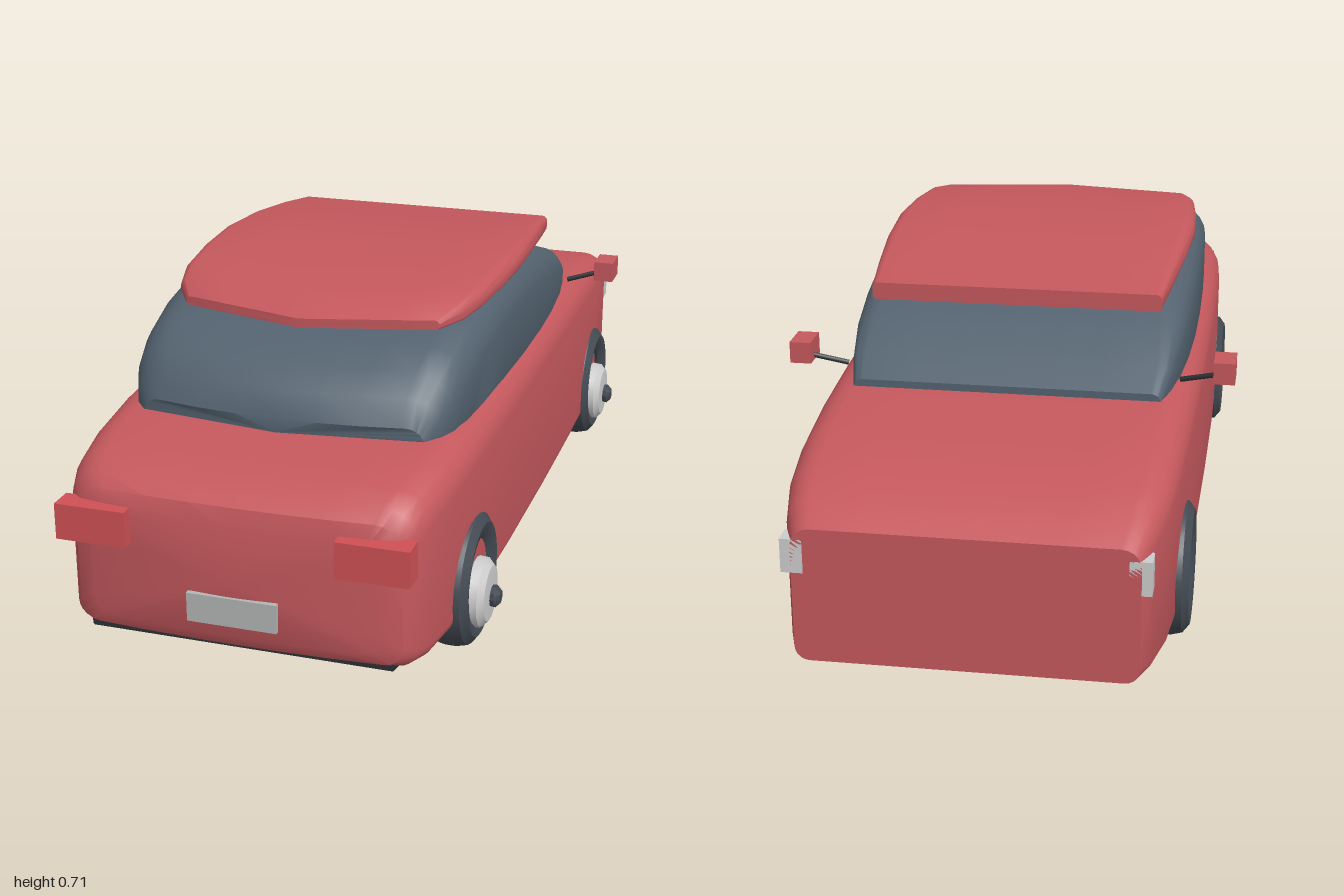
import * as THREE from 'three';
import { toCreasedNormals } from 'three/addons/utils/BufferGeometryUtils.js';

const paint = (color) => new THREE.MeshStandardMaterial({ color });
const red = paint(0xc4585d), lampRed = paint(0xcf5055), glass = paint(0x53626f);
const rubber = paint(0x434a52), dark = paint(0x2c3033), light = paint(0xdddddb), plateGrey = paint(0xb2b6b5);

// Rounded-rectangle outline, counter-clockwise, with points spread along top and bottom.
function outline(w, y0, y1, rBottom, rTop) {
  const pts = [];
  const corner = (cx, cy, r, start) => {
    for (let i = 0; i <= 5; i++) {
      const a = start + (i / 5) * Math.PI / 2;
      pts.push([cx + r * Math.cos(a), cy + r * Math.sin(a)]);
    }
  };
  const inner = [0.66, 0.33, 0, -0.33, -0.66];
  corner(w - rBottom, y0 + rBottom, rBottom, -Math.PI / 2);
  corner(w - rTop, y1 - rTop, rTop, 0);
  for (const u of inner) pts.push([u * (w - rTop), y1]);
  corner(-w + rTop, y1 - rTop, rTop, Math.PI / 2);
  corner(-w + rBottom, y0 + rBottom, rBottom, Math.PI);
  for (const u of inner) pts.push([-u * (w - rBottom), y0]);
  return pts;
}

// Skin over sections [z, halfWidth, bottom, top, bottomRadius, topRadius, sweep].
// sweep pulls the sides of a section forward, following |x|^power.
function loft(sections, power = 2, crease = 0.6) {
  const pos = [], idx = [];
  let n = 0;
  for (const [z, w, y0, y1, rb, rt, sweep = 0] of sections) {
    const ring = outline(w, y0, y1, rb, rt);
    n = ring.length;
    for (const [x, y] of ring) pos.push(x, y, z - sweep * Math.pow(Math.abs(x) / w, power));
  }
  const last = sections.length - 1;
  for (let i = 0; i < last; i++) {
    for (let j = 0; j < n; j++) {
      const a = i * n + j, b = i * n + (j + 1) % n;
      idx.push(a, b, a + n, b, b + n, a + n);
    }
  }
  // End caps
  for (const i of [0, last]) {
    const c = pos.length / 3, [z, , y0, y1] = sections[i];
    pos.push(0, (y0 + y1) / 2, z);
    for (let j = 0; j < n; j++) {
      const a = i * n + j, b = i * n + (j + 1) % n;
      if (i) idx.push(c, a, b); else idx.push(c, b, a);
    }
  }
  const g = new THREE.BufferGeometry();
  g.setAttribute('position', new THREE.Float32BufferAttribute(pos, 3));
  g.setIndex(idx);
  return toCreasedNormals(g, crease);
}

// Lathe turned so its axis points along +x; profile is [radius, x].
function turned(profile, sides) {
  const g = new THREE.LatheGeometry(profile.map(([r, x]) => new THREE.Vector2(r, x)), sides);
  g.rotateZ(-Math.PI / 2);
  return toCreasedNormals(g, 0.6);
}

export function createModel() {
  const car = new THREE.Group();
  car.name = 'car';
  const add = (name, geometry, material, x = 0, y = 0, z = 0, parent = car) => {
    const m = new THREE.Mesh(geometry, material);
    m.name = name;
    m.position.set(x, y, z);
    parent.add(m);
    return m;
  };
  const box = (w, h, d) => new THREE.BoxGeometry(w, h, d);

  // Body shell, blunt at -z and rounded at +z
  add('body', loft([
    [-1.0, 0.345, 0.082, 0.37, 0.03, 0.04],
    [-0.94, 0.366, 0.08, 0.405, 0.03, 0.05],
    [-0.85, 0.385, 0.08, 0.435, 0.03, 0.06],
    [-0.72, 0.396, 0.08, 0.46, 0.03, 0.065],
    [-0.55, 0.403, 0.081, 0.477, 0.03, 0.07],
    [-0.3, 0.408, 0.082, 0.486, 0.03, 0.07],
    [0, 0.41, 0.083, 0.489, 0.03, 0.07],
    [0.35, 0.409, 0.085, 0.487, 0.03, 0.07],
    [0.6, 0.404, 0.086, 0.48, 0.03, 0.07],
    [0.77, 0.394, 0.087, 0.466, 0.035, 0.07],
    [0.88, 0.38, 0.088, 0.449, 0.035, 0.07],
    [0.94, 0.365, 0.092, 0.43, 0.04, 0.07, 0.01],
    [0.972, 0.345, 0.105, 0.405, 0.04, 0.06, 0.015],
    [0.985, 0.305, 0.13, 0.36, 0.04, 0.05, 0.015],
  ]), red);

  // Dark underside panel
  add('underbody', loft([
    [-0.15, 0.3, 0.079, 0.1, 0.005, 0.005],
    [0.2, 0.35, 0.079, 0.1, 0.005, 0.005],
    [0.75, 0.35, 0.082, 0.1, 0.005, 0.005],
    [0.95, 0.325, 0.088, 0.11, 0.005, 0.005],
  ]), dark);

  // Glass cabin
  add('cabin', loft([
    [-0.5, 0.335, 0.44, 0.495, 0.01, 0.02],
    [-0.43, 0.352, 0.44, 0.54, 0.01, 0.03],
    [-0.33, 0.366, 0.44, 0.595, 0.01, 0.05],
    [-0.2, 0.375, 0.44, 0.64, 0.01, 0.07],
    [-0.05, 0.38, 0.44, 0.672, 0.01, 0.08],
    [0.12, 0.38, 0.44, 0.685, 0.01, 0.08],
    [0.3, 0.376, 0.44, 0.68, 0.01, 0.08],
    [0.45, 0.37, 0.44, 0.66, 0.01, 0.08],
    [0.57, 0.362, 0.44, 0.63, 0.01, 0.08, 0.01],
    [0.65, 0.352, 0.44, 0.595, 0.01, 0.08, 0.025],
    [0.7, 0.335, 0.44, 0.555, 0.01, 0.07, 0.035],
    [0.73, 0.31, 0.44, 0.5, 0.01, 0.04, 0.035],
  ]), glass);

  // Roof panel: overhangs at -z, comes to a shallow point at +z
  add('roof', loft([
    [-0.355, 0.322, 0.632, 0.67, 0.008, 0.012],
    [-0.22, 0.338, 0.648, 0.69, 0.008, 0.02],
    [-0.06, 0.354, 0.665, 0.707, 0.008, 0.026],
    [0.1, 0.362, 0.668, 0.714, 0.008, 0.028],
    [0.25, 0.357, 0.666, 0.711, 0.008, 0.028, 0.01],
    [0.4, 0.344, 0.66, 0.702, 0.008, 0.025, 0.03],
    [0.5, 0.322, 0.652, 0.688, 0.008, 0.02, 0.05],
    [0.58, 0.285, 0.647, 0.667, 0.006, 0.01, 0.075],
  ], 1), red);

  // Wheels: open tyre ring with a lower-set hub, all facing +x
  const tyre = turned([[0.085, -0.035], [0.1, -0.046], [0.122, -0.05], [0.14, -0.036], [0.146, -0.012],
    [0.146, 0.012], [0.14, 0.036], [0.122, 0.05], [0.1, 0.046], [0.085, 0.035], [0.085, -0.035]], 28);
  const hub = turned([[0, 0.02], [0.06, 0.02], [0.076, 0.035], [0.074, 0.055], [0.06, 0.068], [0, 0.072]], 18);
  const cap = turned([[0, 0.06], [0.022, 0.06], [0.024, 0.08], [0.014, 0.09], [0, 0.091]], 10);
  for (const x of [0.37, -0.37]) {
    for (const z of [0.63, -0.61]) {
      const wheel = new THREE.Group();
      wheel.name = (z > 0 ? 'front' : 'rear') + (x > 0 ? 'Left' : 'Right') + 'Wheel';
      wheel.position.set(x, 0.15, z);
      add('tyre', tyre, rubber, 0, 0, 0, wheel);
      add('hub', hub, light, 0, -0.03, 0, wheel);
      add('hubCap', cap, rubber, 0, -0.035, 0, wheel);
      car.add(wheel);
    }
  }

  // Mirrors and lamps, mirrored on both sides
  for (const s of [1, -1]) {
    const side = s > 0 ? 'left' : 'right';
    add(side + 'Mirror', box(0.047, 0.048, 0.075), red, s * 0.466, 0.53, -0.413);
    const arm = new THREE.LineCurve3(new THREE.Vector3(s * 0.37, 0.495, -0.4), new THREE.Vector3(s * 0.445, 0.516, -0.418));
    add(side + 'MirrorArm', new THREE.TubeGeometry(arm, 1, 0.006, 8), dark);
    add(side + 'RedLamp', box(0.152, 0.077, 0.055), lampRed, s * 0.294, 0.338, 0.9725);
    add(side + 'WhiteLamp', box(0.045, 0.072, 0.045), light, s * 0.343, 0.31, -0.9775);
  }
  add('plate', box(0.19, 0.062, 0.03), plateGrey, 0, 0.186, 0.977);
  return car;
}
